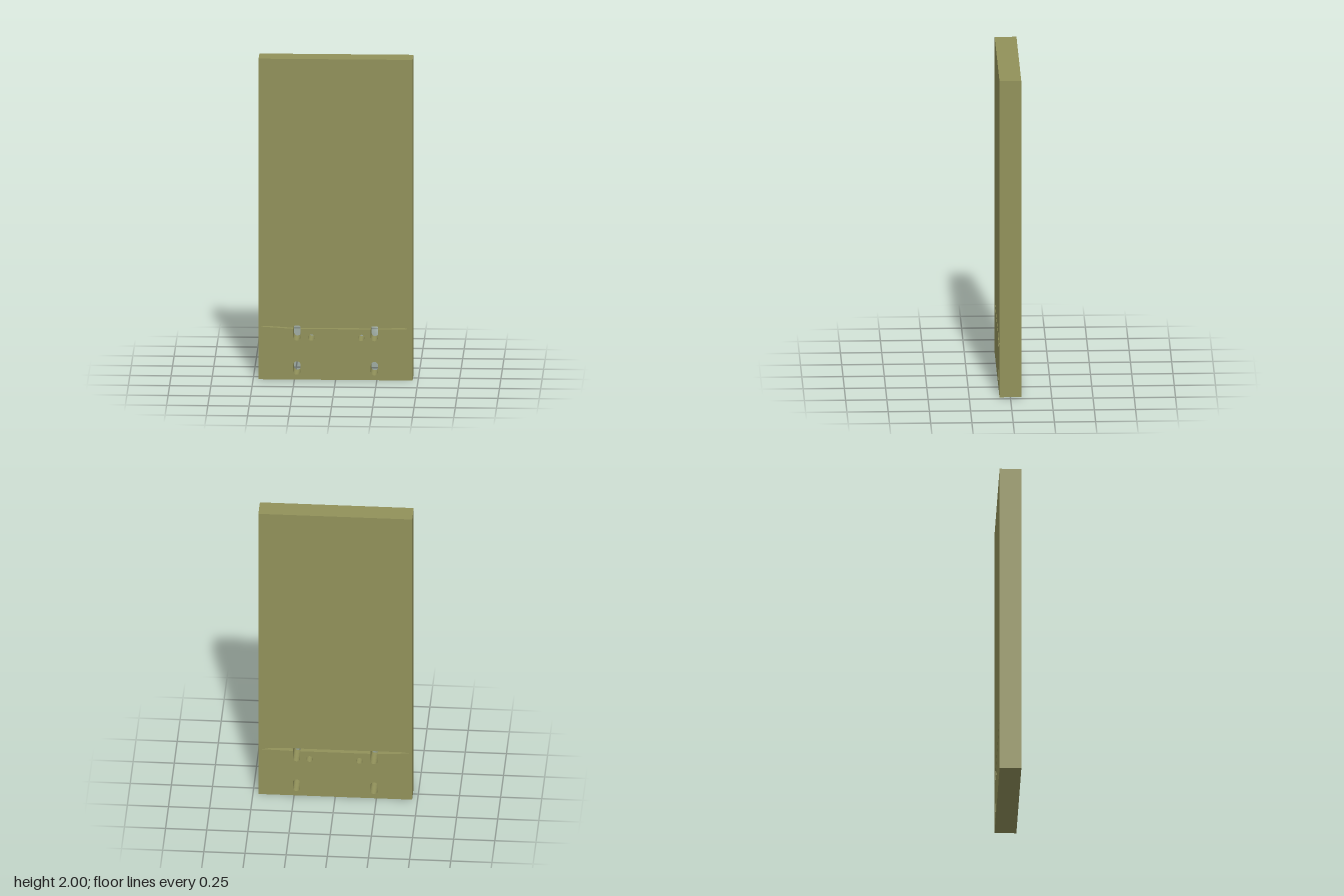
import * as THREE from 'three';
import { mergeGeometries } from 'three/addons/utils/BufferGeometryUtils.js';

const W = 0.467, H = 2, Z = 0.066, FLOOR = 0.036; // half width, height, half depth, groove floor
const SLOT_X = 0.235, SLOT_R = 0.022;

// Upright slot with round ends; equal ends give a round hole
function slot(x, y0, y1, r) {
  const p = new THREE.Path();
  p.absarc(x, y1 - r, r, 0, Math.PI, false);
  p.absarc(x, y0 + r, r, Math.PI, 2 * Math.PI, false);
  p.closePath();
  return p;
}

// Thin lens-shaped groove whose lower edge runs down into both upper slots
function grooveOutline() {
  const p = new THREE.Path();
  p.moveTo(-0.464, 0.329);
  for (const x of [-SLOT_X, SLOT_X]) {
    p.lineTo(x - SLOT_R, 0.316);
    p.lineTo(x - SLOT_R, 0.243 + SLOT_R);
    p.absarc(x, 0.243 + SLOT_R, SLOT_R, Math.PI, 2 * Math.PI, false);
    p.lineTo(x + SLOT_R, 0.316);
  }
  p.lineTo(0.445, 0.32);
  p.lineTo(0.4, 0.331);
  p.lineTo(0.25, 0.336);
  p.lineTo(-0.4, 0.336);
  p.closePath();
  return p;
}

function rectangle(x, y0, y1) {
  return new THREE.Shape([[-x, y0], [x, y0], [x, y1], [-x, y1]].map(([a, b]) => new THREE.Vector2(a, b)));
}

// Flat sheet facing +z, or -z when back is true
function sheet(shape, z, back) {
  const g = new THREE.ShapeGeometry(shape, 10).toNonIndexed();
  g.deleteAttribute('uv');
  g.translate(0, 0, z);
  if (back) g.rotateY(Math.PI).scale(-1, 1, 1);
  g.computeVertexNormals();
  return g;
}

// Wall swept along z from a closed outline
function wall(path, z0, z1) {
  const pts = path.getPoints(10), pos = [];
  pts.forEach((a, i) => {
    const b = pts[(i + 1) % pts.length];
    if (a.distanceTo(b) < 1e-6) return;
    pos.push(a.x, a.y, z0, b.x, b.y, z0, b.x, b.y, z1, a.x, a.y, z0, b.x, b.y, z1, a.x, a.y, z1);
  });
  const g = new THREE.BufferGeometry();
  g.setAttribute('position', new THREE.Float32BufferAttribute(pos, 3));
  g.computeVertexNormals();
  return g;
}

export function createModel() {
  const group = new THREE.Group();
  group.name = 'mountingPlate';
  const material = new THREE.MeshStandardMaterial({ color: 0x91915a, side: THREE.DoubleSide });

  const add = (name, parts) => {
    const mesh = new THREE.Mesh(mergeGeometries(parts), material);
    mesh.name = name;
    group.add(mesh);
  };

  const upperSlots = [-SLOT_X, SLOT_X].map(x => slot(x, 0.243, 0.335, SLOT_R));
  const lowerSlots = [-SLOT_X, SLOT_X].map(x => slot(x, 0.03, 0.114, SLOT_R));
  const roundHoles = [-0.147, 0.155].map(x => slot(x, 0.243, 0.283, 0.02));
  const groove = grooveOutline();

  // Pierced front and back faces with the outer rim
  const face = rectangle(W, 0, H);
  const rim = wall(face, -Z, Z);
  face.holes.push(groove, ...lowerSlots, ...roundHoles);
  add('slab', [sheet(face, Z, false), sheet(face, Z, true), rim]);

  // Linings of the through holes
  add('slotLinings', [
    ...[...lowerSlots, ...roundHoles].map(p => wall(p, -Z, Z)),
    ...upperSlots.map(p => wall(p, -FLOOR, FLOOR)),
  ]);

  // Shallow groove on each side: edges and floor
  const floor = rectangle(W - 0.002, 0.23, 0.34);
  floor.holes.push(...upperSlots, ...roundHoles);
  add('grooves', [
    wall(groove, FLOOR, Z), wall(groove, -Z, -FLOOR),
    sheet(floor, FLOOR, false), sheet(floor, FLOOR, true),
  ]);
  return group;
}
